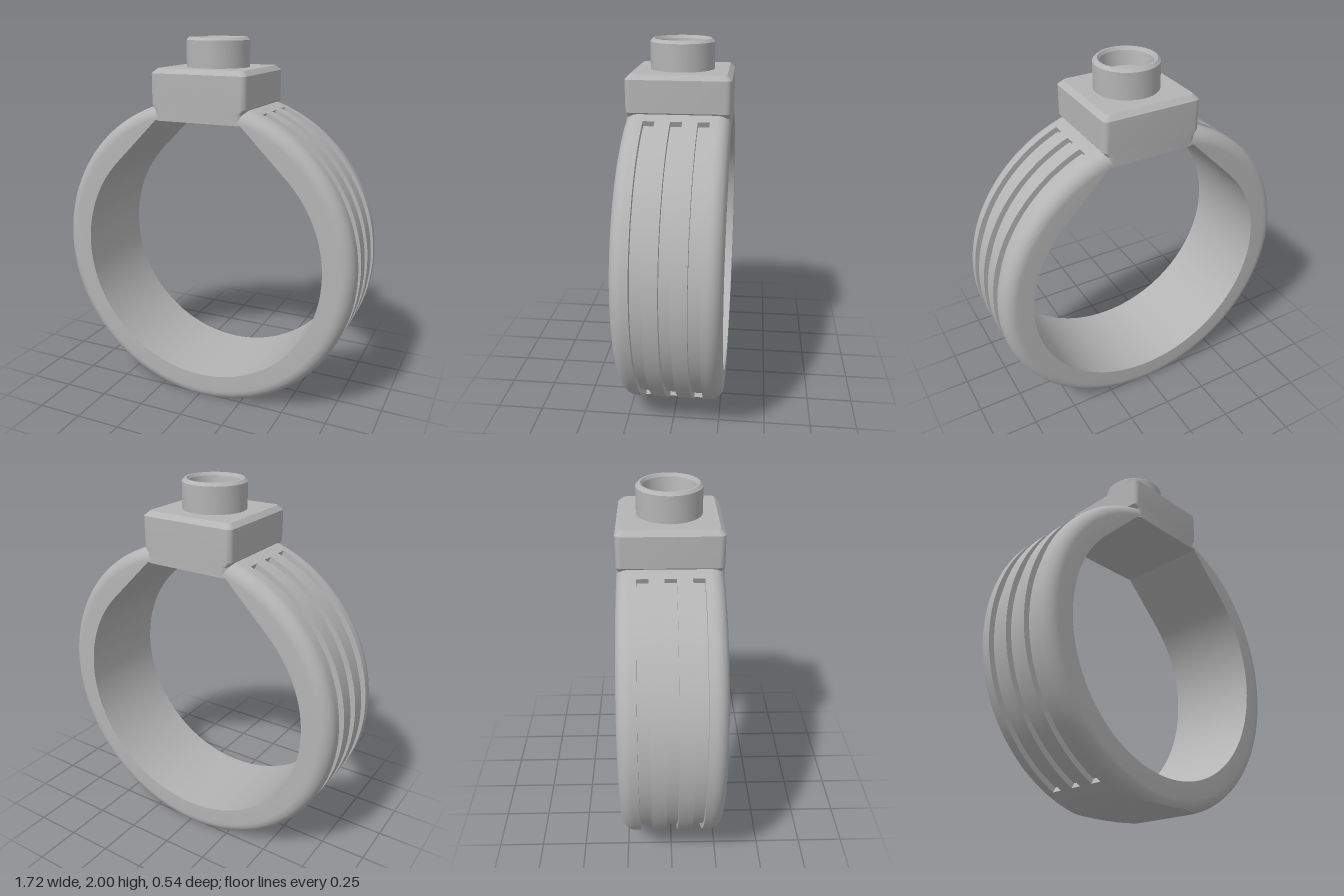
import * as THREE from 'three';
import { toCreasedNormals } from 'three/addons/utils/BufferGeometryUtils.js';

const rad = THREE.MathUtils.degToRad;
const CY = 0.83, OUTER = 0.86, INNER = 0.70, HALF = 0.27, FILLET = 0.07;

// Skin rows of points; columns close on themselves
function loft(rows, crease) {
  const n = rows[0].length, index = [];
  for (let i = 0; i < rows.length - 1; i++) {
    for (let j = 0; j < n; j++) {
      const k = (j + 1) % n;
      const a = i * n + j, b = a + n, c = (i + 1) * n + k, d = i * n + k;
      index.push(a, b, d, b, c, d);
    }
  }
  const g = new THREE.BufferGeometry();
  g.setAttribute('position', new THREE.Float32BufferAttribute(rows.flat(2), 3));
  g.setIndex(index);
  return toCreasedNormals(g, crease);
}

// Band cross-section at one angle, with three grooves of the given depth
function bandSection(deg, depth) {
  const t = rad(deg), fold = Math.asin(Math.sin(t)), q = Math.PI / 4;
  const inner = fold > q ? Math.min(INNER / Math.cos(fold - q), 0.787) : INNER;
  const pts = []; // [radius, z]
  const steps = 10;
  const corner = (i, side) => {
    const a = (i / steps) * Math.PI / 2;
    pts.push([OUTER - FILLET + FILLET * Math.sin(a), side * (HALF - FILLET + FILLET * Math.cos(a))]);
  };
  for (let i = 0; i <= steps; i++) corner(i, -1);
  for (const z of [-0.138, 0, 0.138]) {
    pts.push([OUTER, z - 0.03], [OUTER - depth, z - 0.03], [OUTER - depth, z + 0.03], [OUTER, z + 0.03]);
  }
  for (let i = steps; i >= 0; i--) corner(i, 1);
  pts.push([inner, HALF], [inner, -HALF]);
  // the underside is cut flat at the ground
  return pts.map(([r, z]) => [r * Math.cos(t), Math.max(0, CY + r * Math.sin(t)), z]);
}

function bandGeometry() {
  const grooves = [[112.2, 242.1], [297.9, 427.8]];
  const stations = [];
  for (let d = 105; d <= 435; d += 3) {
    stations.push([d, grooves.some(([a, b]) => d > a && d < b) ? 0.03 : 0]);
  }
  // doubled stations give upright groove ends
  for (const [a, b] of grooves) stations.push([a, 0], [a + 0.001, 0.03], [b - 0.001, 0.03], [b, 0]);
  // extra stations where the flat underside begins
  const flat = THREE.MathUtils.radToDeg(Math.asin(CY / OUTER));
  stations.push([180 + flat, 0], [360 - flat, 0]);
  stations.sort((p, q) => p[0] - q[0]);
  return loft(stations.map(([d, depth]) => bandSection(d, depth)), 0.22);
}

// Rounded rectangle in the ground plane at height y
function roundedRect(hx, hz, y, r) {
  const pts = [];
  for (let k = 0; k < 4; k++) {
    const sx = k === 0 || k === 3 ? 1 : -1, sz = k < 2 ? 1 : -1;
    for (let i = 0; i <= 6; i++) {
      const a = (k + i / 6) * Math.PI / 2;
      pts.push([sx * (hx - r) + r * Math.cos(a), y, sz * (hz - r) + r * Math.sin(a)]);
    }
  }
  return pts;
}

export function createModel() {
  const group = new THREE.Group();
  const grey = new THREE.MeshStandardMaterial({ color: 0xb4b4b4 });
  grey.name = 'grey metal';
  const add = (name, geometry) => {
    const mesh = new THREE.Mesh(geometry, grey);
    mesh.name = name;
    group.add(mesh);
  };

  add('band', bandGeometry());

  // Square head, narrowed where it meets the band, bevelled on top
  add('head', loft([
    roundedRect(0, 0, 1.575, 0),
    roundedRect(0.25, 0.27, 1.575, 0.03),
    roundedRect(0.25, 0.27, 1.63, 0.03),
    roundedRect(0.27, 0.27, 1.655, 0.03),
    roundedRect(0.27, 0.27, 1.82, 0.03),
    roundedRect(0.245, 0.245, 1.845, 0.025),
    roundedRect(0, 0, 1.845, 0),
  ], 0.4));

  // Round collar with a shallow recess
  const profile = [[0.17, 1.84], [0.17, 1.985], [0.155, 2], [0.145, 2], [0.135, 1.985], [0.122, 1.91], [0, 1.91]];
  add('collar', toCreasedNormals(
    new THREE.LatheGeometry(profile.map(([x, y]) => new THREE.Vector2(x, y)), 64), 0.4));

  return group;
}
